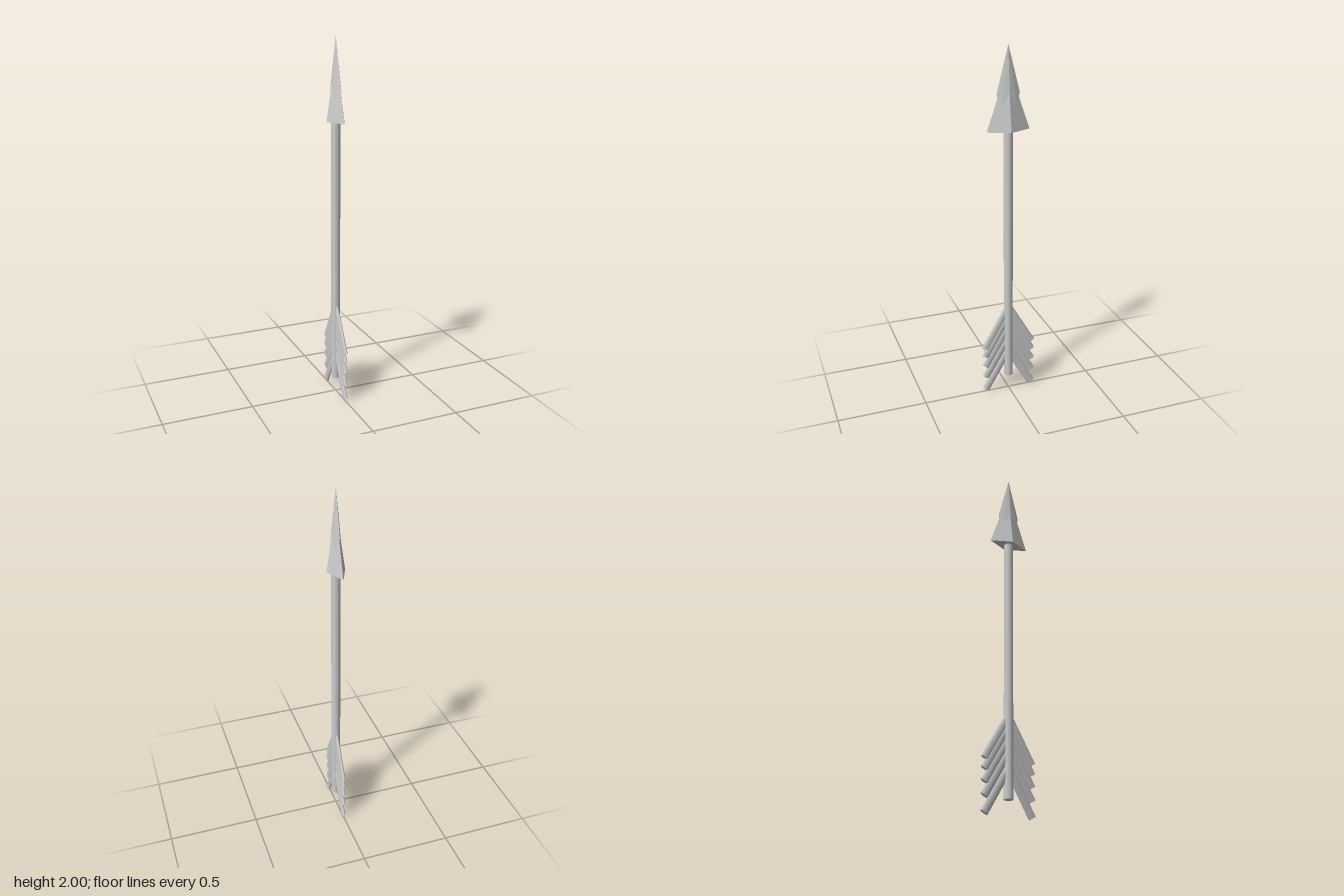
import * as THREE from 'three';

export function createModel() {
  const model = new THREE.Group();
  const smooth = new THREE.MeshStandardMaterial({ color: 0xcccccc });
  const flat = new THREE.MeshStandardMaterial({ color: 0xcccccc, flatShading: true, side: THREE.DoubleSide });

  const add = (name, geometry, material, parent = model) => {
    const mesh = new THREE.Mesh(geometry, material);
    mesh.name = name;
    parent.add(mesh);
    return mesh;
  };

  // Round shaft
  add('shaft', new THREE.CylinderGeometry(0.025, 0.025, 1.51, 20).translate(0, 0.845, 0), smooth);

  // Barbed base of the head: a diamond pyramid
  const head = new THREE.Group();
  head.name = 'arrowhead';
  model.add(head);
  const barb = new THREE.ConeGeometry(1, 0.345, 4).scale(0.05, 1, 0.118).translate(0, 1.7275, 0);
  add('headBase', barb, flat, head);

  // Tip: an eight-sided cone whose rim dips to a point in the middle of each face
  const tip = new THREE.ConeGeometry(1, 1, 8, 1, true);
  const pos = tip.attributes.position;
  for (let i = 0; i < pos.count; i++) {
    const x = pos.getX(i), y = pos.getY(i), z = pos.getZ(i);
    if (y > 0) pos.setXYZ(i, 0, 2, 0);
    else if (Math.abs(x * z) > 0.1) pos.setXYZ(i, Math.sign(x) * 0.017, 1.69, Math.sign(z) * 0.041);
    else pos.setXYZ(i, x * 0.023, 1.752, z * 0.063);
  }
  add('headTip', tip, flat, head);

  // Flattened vanes slanting down and out on both sides
  const length = 0.27, drops = [0, 0.055, 0.12, 0.19, 0.273];
  for (const side of [1, -1]) {
    const fletching = new THREE.Group();
    fletching.name = side > 0 ? 'frontFletching' : 'backFletching';
    model.add(fletching);
    for (const drop of drops) {
      const vane = add('vane', new THREE.CylinderGeometry(1, 1, length, 16).scale(0.01, 1, 0.0225), smooth, fletching);
      vane.rotation.x = -side * Math.PI / 6;
      vane.position.set(0, 0.285 - drop + length / 2 * Math.cos(Math.PI / 6), side * (0.139 - length / 4));
    }
  }
  return model;
}
